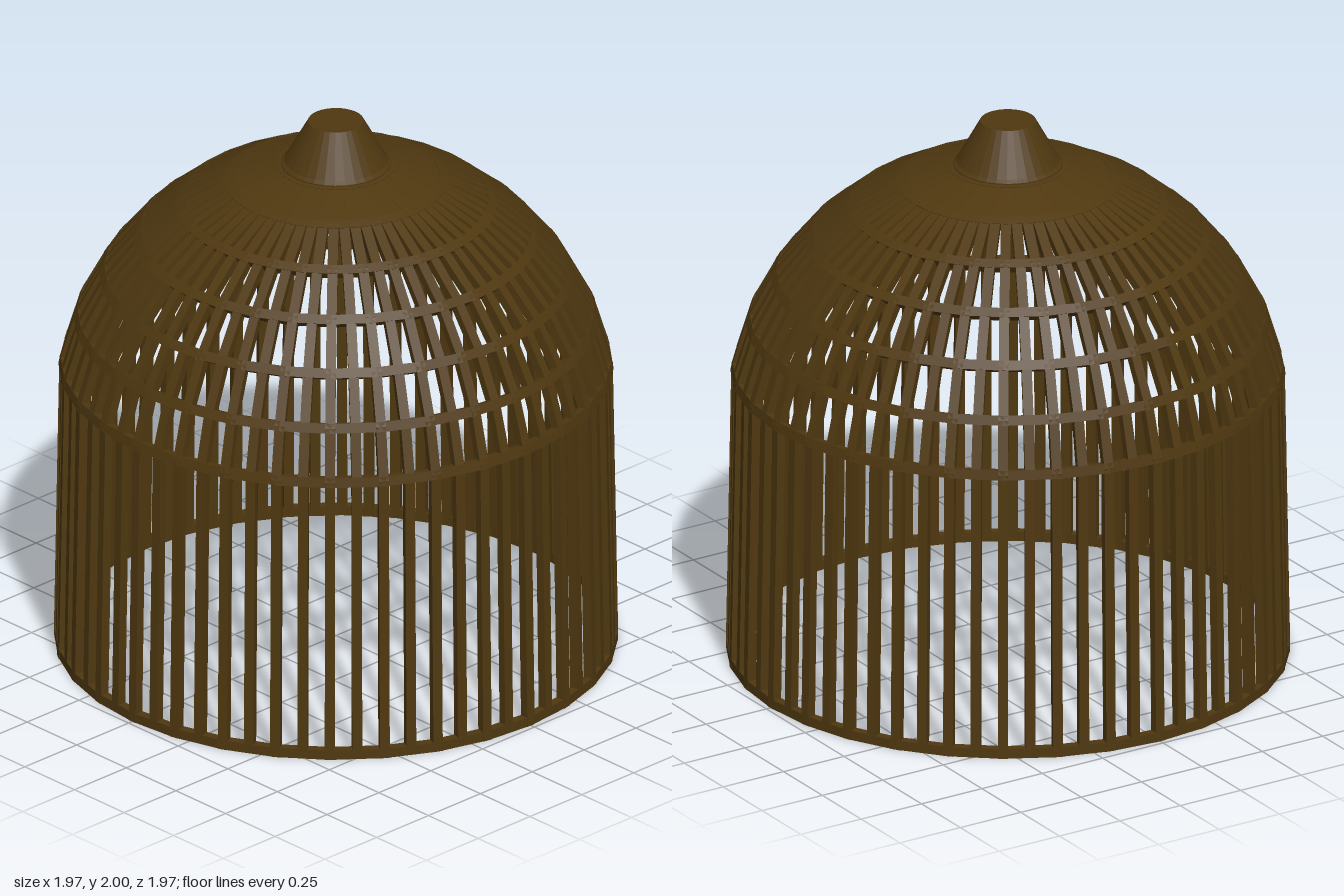
import * as THREE from 'three';
import { mergeGeometries } from 'three/addons/utils/BufferGeometryUtils.js';

const SIDES = 32;            // chords in each hoop
const BARS = 64;             // one bar per corner and one per chord middle
const R = 0.967;             // dome radius at mid thickness
const CENTRE_Y = 0.872;      // height of the dome's centre
const W = 0.035, T = 0.032;  // strip width and thickness

export function createModel() {
  const group = new THREE.Group();
  const material = new THREE.MeshStandardMaterial({ color: 0x4f3810, flatShading: true, side: THREE.DoubleSide });
  const add = (name, geometry) => {
    const mesh = new THREE.Mesh(geometry, material);
    mesh.name = name;
    group.add(mesh);
  };

  // Stations up the profile: the foot, then seven latitudes of the dome
  const stations = [{ r: R, y: 0, tilt: 0 }];
  for (let i = 1; i <= 7; i++) {
    const tilt = i * Math.PI / 16;
    stations.push({ r: R * Math.cos(tilt), y: CENTRE_Y + R * Math.sin(tilt), tilt });
  }

  // Bars: a thin bent strip profile, extruded to the strip width
  const edge = (d) => stations.map((s) =>
    new THREE.Vector2(s.r + d * Math.cos(s.tilt), s.y + d * Math.sin(s.tilt)));
  const barShape = new THREE.Shape([...edge(T / 2), ...edge(-T / 2).reverse()]);
  const bar = new THREE.ExtrudeGeometry(barShape, { depth: W, bevelEnabled: false }).translate(0, 0, -W / 2);
  const bars = [];
  for (let i = 0; i < BARS; i++) {
    const inset = i % 2 ? Math.cos(Math.PI / SIDES) : 1;
    bars.push(bar.clone().scale(inset, 1, 1).rotateY(i * 2 * Math.PI / BARS));
  }
  add('bars', mergeGeometries(bars));

  // Hoops: rectangular section tilted to follow the dome
  const hoop = ({ r, y, tilt }) => {
    const c = Math.cos(tilt), s = Math.sin(tilt);
    const corners = [[-1, -1], [1, -1], [1, 1], [-1, 1], [-1, -1]].map(([a, b]) => {
      const out = a * T / 2, up = b * W / 2;
      return new THREE.Vector2(r + out * c - up * s, y + out * s + up * c);
    });
    return new THREE.LatheGeometry(corners, SIDES);
  };
  add('footHoop', hoop({ r: R, y: W / 2, tilt: 0 }));
  add('domeHoops', mergeGeometries(stations.slice(1).map(hoop)));

  // Crown: hollow tapered neck with a closed top
  const crown = [[0.155, 1.81], [0.19, 1.815], [0.192, 1.84], [0.18, 1.85], [0.097, 2], [0, 2],
    [0, 1.97], [0.08, 1.97], [0.155, 1.81]].map(([x, y]) => new THREE.Vector2(x, y));
  add('crown', new THREE.LatheGeometry(crown, SIDES));

  return group;
}
